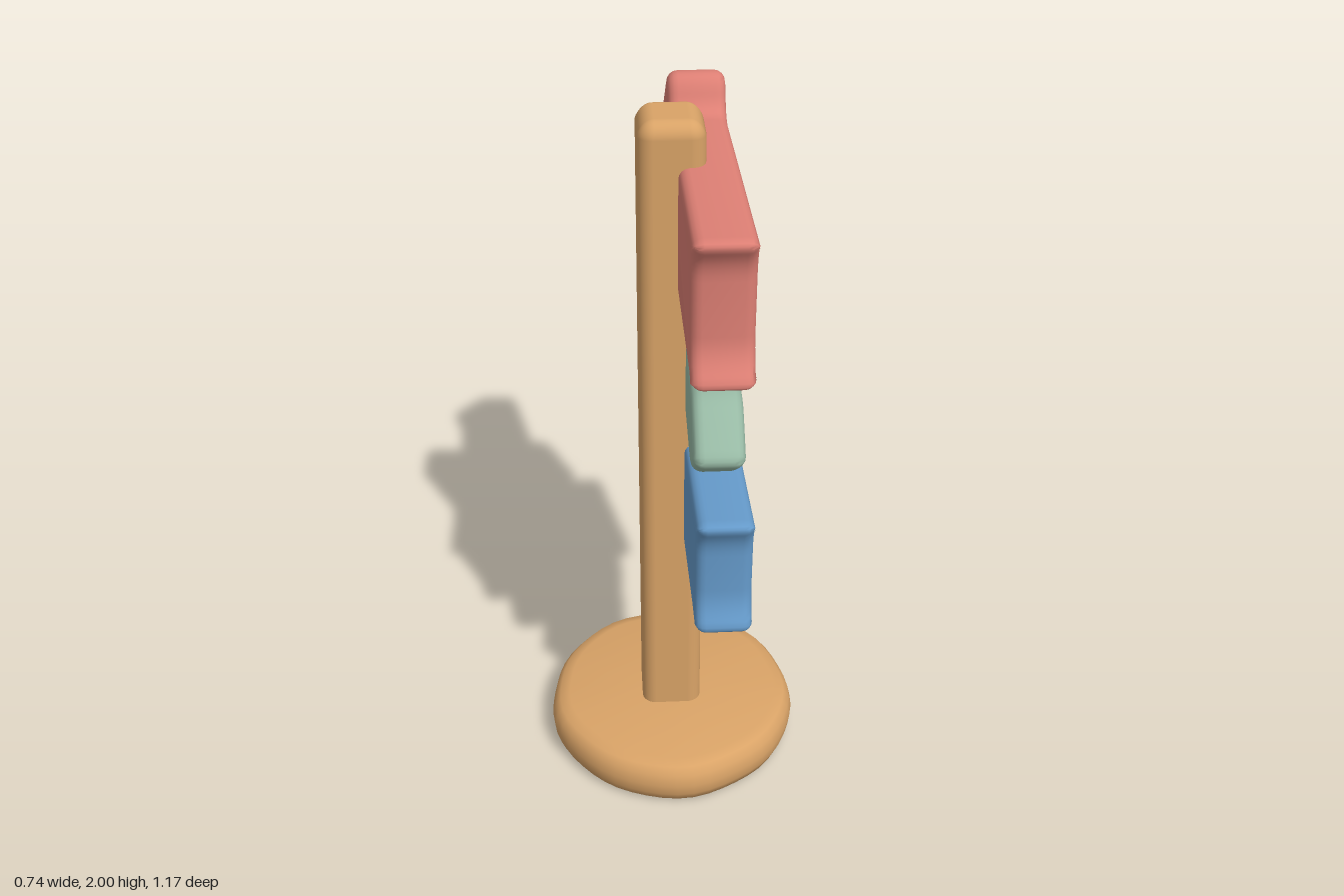
import * as THREE from 'three';
import { toCreasedNormals } from 'three/addons/utils/BufferGeometryUtils.js';
import { RoundedBoxGeometry } from 'three/addons/geometries/RoundedBoxGeometry.js';

const material = (name, color) => {
  const m = new THREE.MeshStandardMaterial({ color });
  m.name = name;
  return m;
};

// Closed outline whose corners are rounded by a radius r
function roundedOutline(points, r) {
  const pts = points.map(([x, y]) => new THREE.Vector2(x, y));
  const shape = new THREE.Shape();
  pts.forEach((p, i) => {
    const prev = pts[(i + pts.length - 1) % pts.length];
    const next = pts[(i + 1) % pts.length];
    const toward = (q) => p.clone().lerp(q, Math.min(0.45, r / p.distanceTo(q)));
    const a = toward(prev), b = toward(next);
    if (i === 0) shape.moveTo(a.x, a.y);
    else shape.lineTo(a.x, a.y);
    shape.quadraticCurveTo(p.x, p.y, b.x, b.y);
  });
  shape.closePath();
  return shape;
}

// Thick soft-edged board: outline in (-z, y), extruded along x and skewed along z
function board(name, points, mat, x0, x1, skew) {
  const bevel = 0.028;
  const geo = new THREE.ExtrudeGeometry(roundedOutline(points, 0.045), {
    depth: x1 - x0 - 2 * bevel, curveSegments: 5,
    bevelEnabled: true, bevelThickness: bevel, bevelSize: bevel, bevelOffset: -bevel, bevelSegments: 4,
  });
  geo.rotateY(Math.PI / 2);
  geo.translate(x0 + bevel, 0, 0);
  const p = geo.attributes.position;
  for (let i = 0; i < p.count; i++) p.setX(i, p.getX(i) + skew * p.getZ(i));
  const mesh = new THREE.Mesh(toCreasedNormals(geo, 0.8), mat);
  mesh.name = name;
  return mesh;
}

export function createModel() {
  const group = new THREE.Group();
  group.name = 'signpost';
  const wood = material('wood', 0xd9a367);
  const red = material('red paint', 0xdd7f74);
  const green = material('green paint', 0x97b9a4);
  const blue = material('blue paint', 0x659aca);

  // Round base with softened, slightly uneven rim
  const profile = [[0, 0], [0.335, 0], [0.355, 0.012], [0.366, 0.04], [0.37, 0.075],
    [0.362, 0.11], [0.345, 0.132], [0.315, 0.14], [0, 0.142]];
  const baseGeo = new THREE.LatheGeometry(profile.map(([x, y]) => new THREE.Vector2(x, y)), 48);
  const bp = baseGeo.attributes.position;
  for (let i = 0; i < bp.count; i++) {
    const a = Math.atan2(bp.getZ(i), bp.getX(i));
    const s = 1 + 0.008 * Math.sin(5 * a) + 0.005 * Math.sin(9 * a + 1);
    bp.setX(i, bp.getX(i) * s);
    bp.setZ(i, bp.getZ(i) * s);
  }
  const base = new THREE.Mesh(toCreasedNormals(baseGeo, 0.7), wood);
  base.name = 'base';
  base.position.z = 0.065;
  group.add(base);

  // Square post with a rounded top that narrows a little
  const postGeo = new RoundedBoxGeometry(0.175, 1.92, 0.19, 5, 0.04);
  const pp = postGeo.attributes.position;
  for (let i = 0; i < pp.count; i++) {
    const t = THREE.MathUtils.smoothstep(pp.getY(i), 0.9, 0.96);
    pp.setX(i, pp.getX(i) * (1 - 0.12 * t));
    pp.setZ(i, pp.getZ(i) * (1 - 0.08 * t));
  }
  const post = new THREE.Mesh(postGeo, wood);
  post.name = 'post';
  post.position.set(-0.003, 1.04, 0.055);
  group.add(post);

  // Arrow boards, from top to bottom
  group.add(board('topArrow', [
    [-0.59, 1.9], [-0.54, 1.83], [-0.54, 1.6], [-0.6, 1.52], [-0.5, 1.528], [0.22, 1.548],
    [0.28, 1.465], [0.34, 1.478], [0.6, 1.735], [0.32, 1.972], [0.26, 1.972], [0.22, 1.882],
  ], red, 0.01, 0.163, 0.012));
  group.add(board('middleArrow', [
    [-0.575, 1.305], [-0.43, 1.415], [0.32, 1.41], [0.47, 1.462],
    [0.468, 1.3], [0.458, 1.132], [0.32, 1.175], [-0.41, 1.18],
  ], green, 0.035, 0.163, -0.015));
  group.add(board('bottomArrow', [
    [-0.555, 1.105], [-0.51, 1.03], [-0.51, 0.83], [-0.555, 0.75], [0.23, 0.742],
    [0.275, 0.65], [0.34, 0.668], [0.585, 0.91], [0.32, 1.118], [0.26, 1.13], [0.21, 1.075],
  ], blue, 0.028, 0.178, 0.018));

  // Small nail bumps on the boards' faces
  for (const [x, y, z, mat] of [[0.164, 1.62, 0.025, red], [0.163, 1.38, 0.035, green], [0.18, 1.0, 0.005, blue]]) {
    const nail = new THREE.Mesh(new THREE.SphereGeometry(0.011, 10, 8), mat);
    nail.name = 'nail';
    nail.position.set(x, y, z);
    group.add(nail);
  }
  return group;
}
